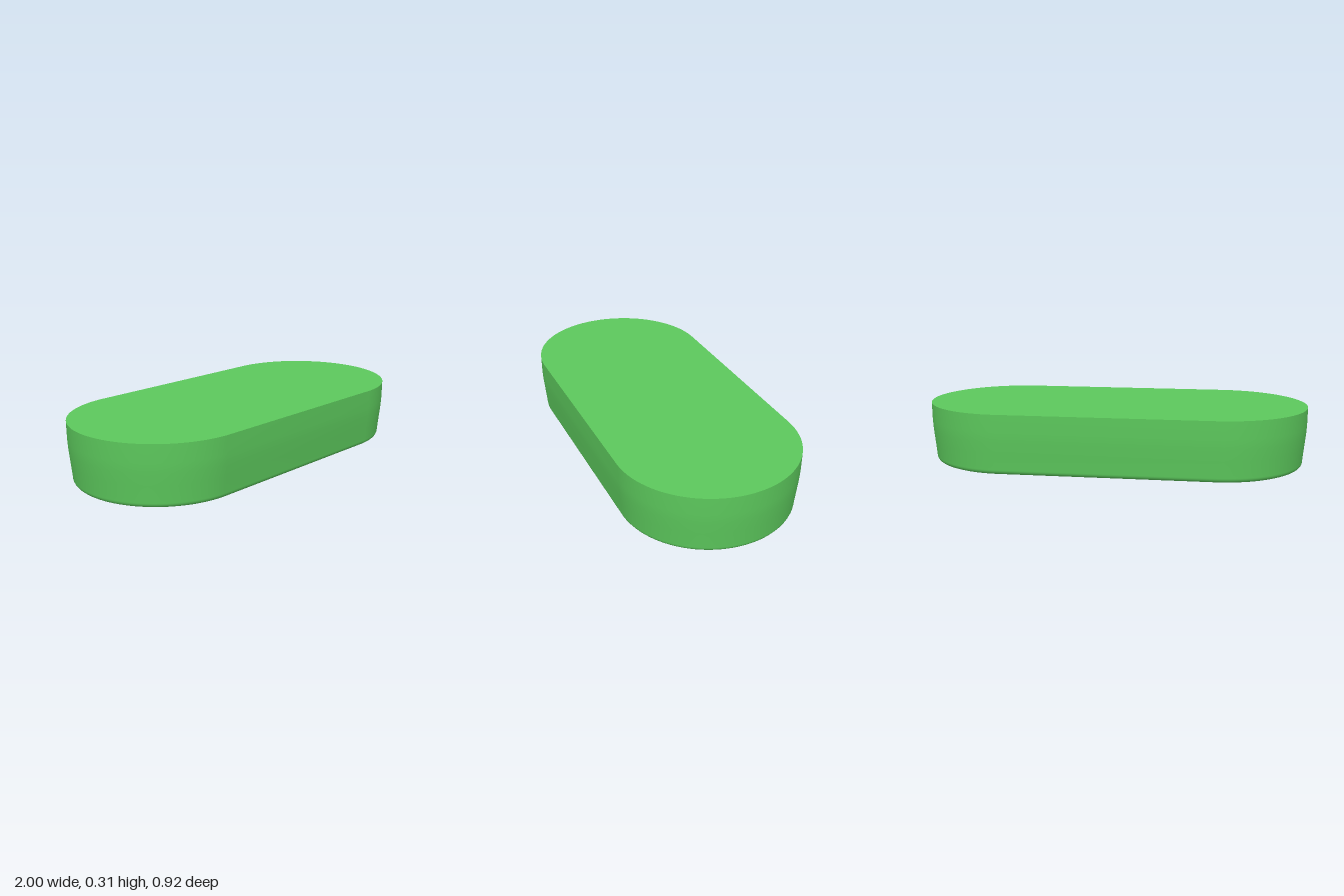
import * as THREE from 'three';

const SPINE = 0.54;   // half length of the straight sides
const SEGMENTS = 96;
const PITCH = 0.158;  // distance between ridges
const RIDGES = 12;

const material = new THREE.MeshStandardMaterial({ color: 0x5cc85c, side: THREE.DoubleSide });

// Lathe a profile of [radius, y], then pull the two halves apart into a stadium
function stadiumLathe(profile) {
  const points = profile.map(([r, y]) => new THREE.Vector2(r, y));
  const geometry = new THREE.LatheGeometry(points, SEGMENTS, Math.PI / SEGMENTS);
  const pos = geometry.attributes.position;
  for (let i = 0; i < pos.count; i++) {
    const ring = Math.floor(i / points.length) % SEGMENTS;
    pos.setX(i, pos.getX(i) + (ring < SEGMENTS / 2 ? SPINE : -SPINE));
  }
  return geometry;
}

// Zigzag sheet that follows the inside of the wall, facing down
function ridgeSheet() {
  const half = PITCH * RIDGES / 2;
  const geometry = new THREE.PlaneGeometry(half * 2, 2, RIDGES * 8, 1).rotateX(Math.PI / 2);
  const pos = geometry.attributes.position;
  for (let i = 0; i < pos.count; i++) {
    const x = pos.getX(i);
    const past = Math.max(0, Math.abs(x) - SPINE);
    const t = (x + half) / PITCH;
    const fromValley = Math.abs(t - Math.round(t)) * PITCH;
    const reach = Math.sqrt(0.42 ** 2 - past ** 2);
    pos.setXYZ(i, x, 0.25 - fromValley, Math.sign(pos.getZ(i)) * reach);
  }
  const flat = geometry.toNonIndexed();
  flat.computeVertexNormals();
  return flat;
}

export function createModel() {
  const group = new THREE.Group();
  const add = (name, geometry) => {
    const mesh = new THREE.Mesh(geometry, material);
    mesh.name = name;
    group.add(mesh);
  };

  // Tapered wall: down the inside, around the rounded rim, up the outside
  const wall = [[0.407, 0.3], [0.404, 0.18], [0.394, 0.04]];
  for (let i = 0; i <= 12; i++) {
    const a = Math.PI * (1 + i / 12);
    wall.push([0.417 + 0.025 * Math.cos(a), 0.025 + 0.025 * Math.sin(a)]);
  }
  wall.push([0.443, 0.04], [0.45, 0.11], [0.456, 0.17], [0.459, 0.22], [0.46, 0.31]);
  add('wall', stadiumLathe(wall));

  // Flat lid
  add('lid', stadiumLathe([[0.46, 0.31], [0, 0.31]]));

  // Ridged underside
  add('ridges', ridgeSheet());
  return group;
}
